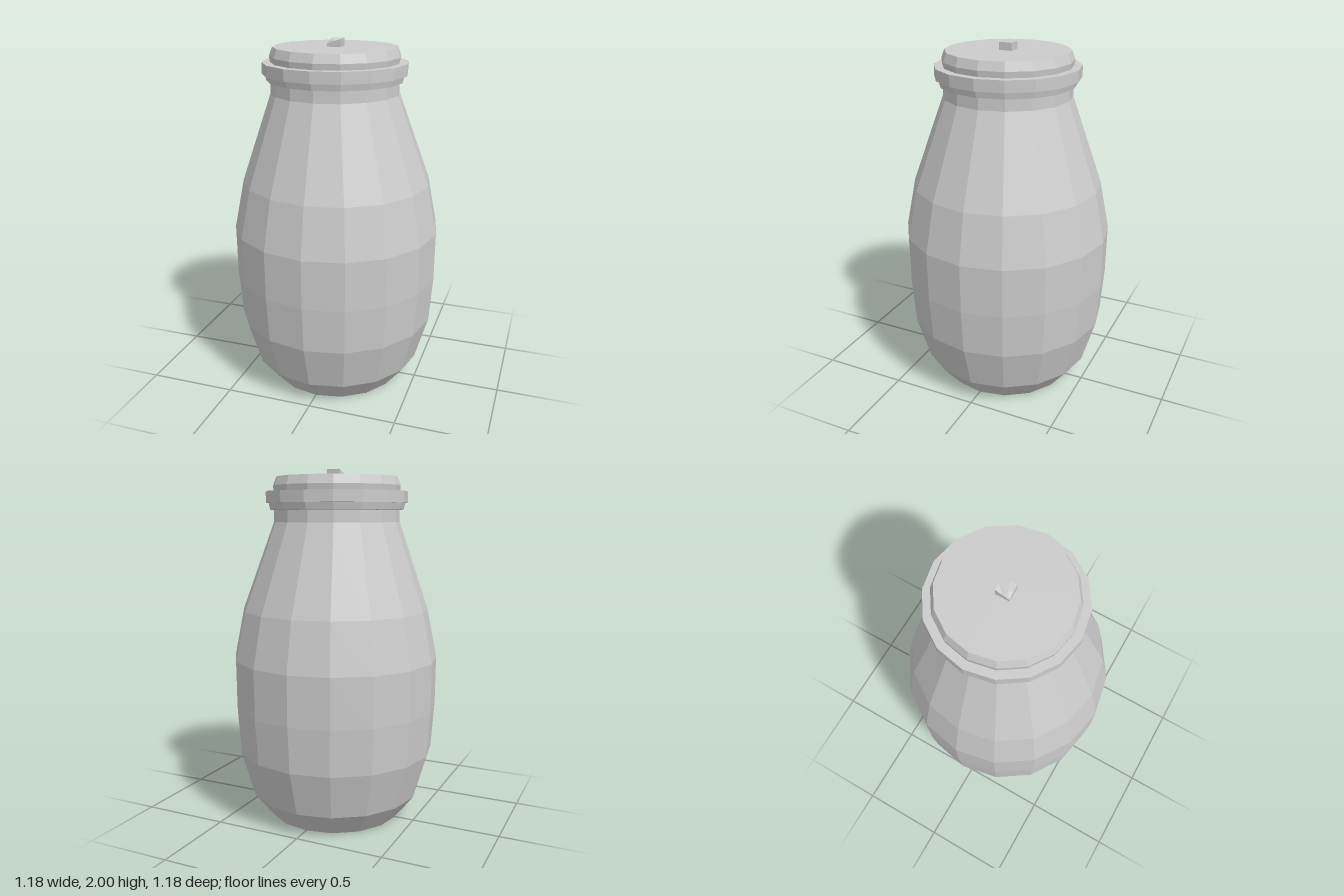
import * as THREE from 'three';

const SIDES = 16;
const LEAN = -0.008; // the neck and lid sit slightly off the axis

const material = new THREE.MeshStandardMaterial({ color: 0xcccccc, flatShading: true });

// Faceted surface of revolution from [radius, height] pairs, bottom to top
function turned(name, profile) {
  const points = profile.map(([r, y]) => new THREE.Vector2(r, y));
  const mesh = new THREE.Mesh(new THREE.LatheGeometry(points, SIDES), material);
  mesh.name = name;
  return mesh;
}

export function createModel() {
  const group = new THREE.Group();
  group.name = 'jar';

  // Bulging body with a flat base, narrowing to a short neck
  const body = turned('body', [
    [0, 0], [0.386, 0], [0.495, 0.138], [0.57, 0.397], [0.588, 0.656],
    [0.59, 0.937], [0.533, 1.217], [0.357, 1.71], [0.355, 1.79],
  ]);
  const pos = body.geometry.attributes.position;
  for (let i = 0; i < pos.count; i++) {
    if (pos.getY(i) > 1.5) pos.setX(i, pos.getX(i) + LEAN);
  }
  group.add(body);

  // Rim around the mouth, undercut below
  const rim = turned('rim', [
    [0.35, 1.775], [0.378, 1.778], [0.386, 1.815], [0.402, 1.815], [0.402, 1.878], [0.33, 1.878],
  ]);
  rim.position.x = LEAN;
  group.add(rim);

  // Lid with a chamfered edge
  const lid = turned('lid', [
    [0.355, 1.87], [0.36, 1.91], [0.342, 1.958], [0, 1.958],
  ]);
  lid.position.x = LEAN;
  group.add(lid);

  // Small knob: a block with its front right corner pressed in
  const knobGeometry = new THREE.BoxGeometry(0.076, 0.05, 0.074, 2, 1, 2);
  const p = knobGeometry.attributes.position;
  for (let i = 0; i < p.count; i++) {
    const top = p.getY(i) > 0;
    if (!top) continue;
    if (p.getX(i) < -0.03 && p.getZ(i) > 0.03) p.setY(i, 0);
    else if (p.getX(i) < -0.03 && p.getZ(i) > -0.01) p.setY(i, 0.012);
    else if (p.getZ(i) > 0.03 && p.getX(i) < 0.01) p.setY(i, 0.014);
    else if (Math.abs(p.getX(i)) < 0.01 && Math.abs(p.getZ(i)) < 0.01) p.setXYZ(i, -0.016, 0.025, 0.018);
  }
  const knob = new THREE.Mesh(knobGeometry, material);
  knob.name = 'knob';
  knob.position.set(-0.006, 1.975, -0.002);
  group.add(knob);

  return group;
}
